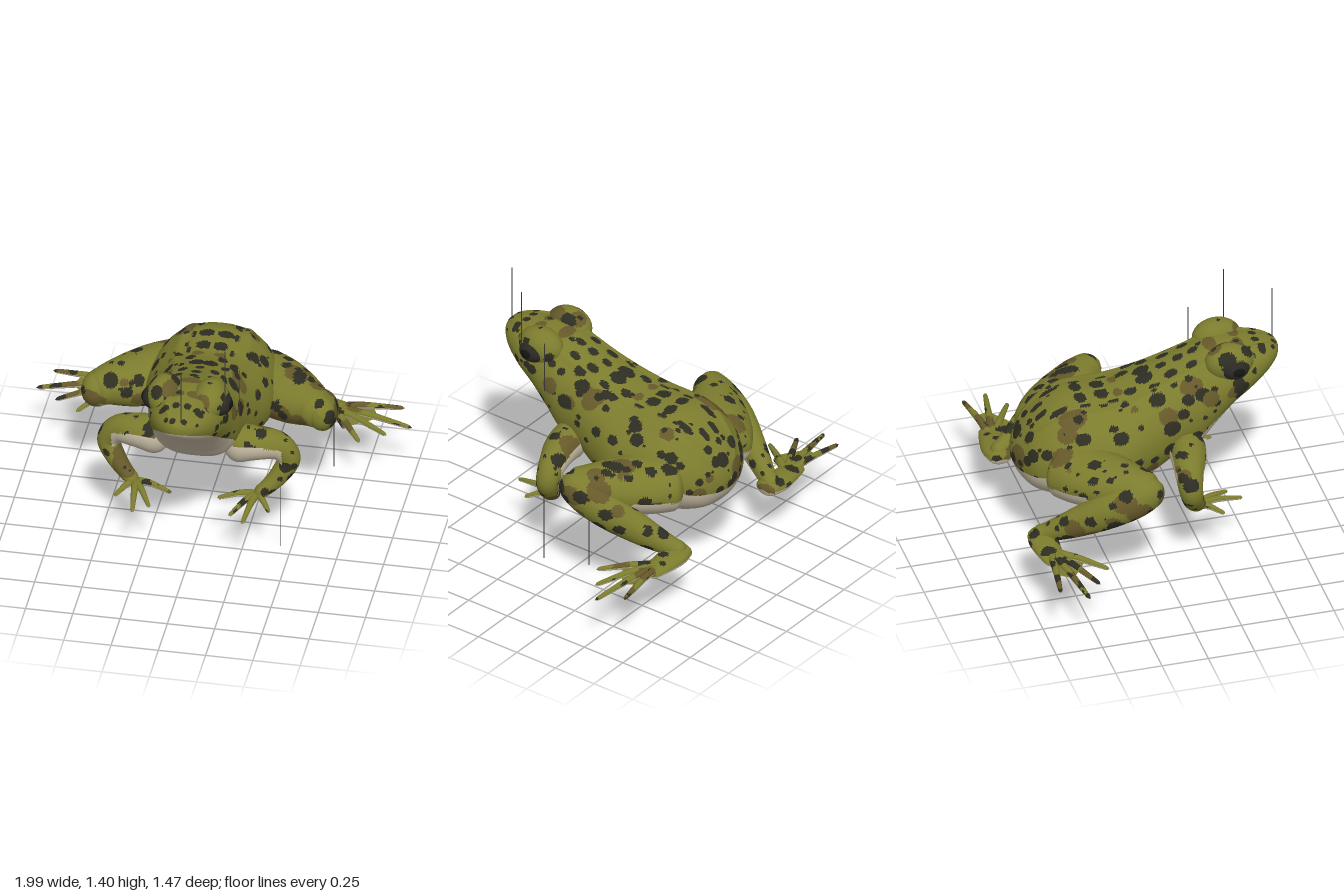
import * as THREE from 'three';

const mat = (name, color, side = THREE.FrontSide) => {
  const m = new THREE.MeshStandardMaterial({ color, side });
  m.name = name;
  return m;
};
const V = (x, y, z) => new THREE.Vector3(x, y, z);

// Seeded value in 0..1 for a grid cell
const hash = (x, y, z, k) => {
  const s = Math.sin(x * 127.1 + y * 311.7 + z * 74.7 + k * 53.3) * 43758.5453;
  return s - Math.floor(s);
};

// True inside one of the scattered blotches (one jittered blob per cell)
function blotch(p, size, rMin, rMax, chance, seed) {
  const c = [p.x, p.y, p.z].map(v => Math.floor(v / size));
  for (let i = -1; i <= 1; i++) for (let j = -1; j <= 1; j++) for (let k = -1; k <= 1; k++) {
    const [x, y, z] = [c[0] + i, c[1] + j, c[2] + k];
    if (hash(x, y, z, seed) > chance) continue;
    const dx = p.x - (x + hash(x, y, z, seed + 1)) * size;
    const dy = p.y - (y + hash(x, y, z, seed + 2)) * size;
    const dz = p.z - (z + hash(x, y, z, seed + 3)) * size;
    const r = rMin + (rMax - rMin) * hash(x, y, z, seed + 4);
    if (dx * dx + dy * dy + dz * dz * 0.7 < r * r) return true;
  }
  return false;
}

// Material slots: 0 olive, 1 cream, 2 dark, 3 brown
const speckled = p => blotch(p, 0.075, 0.008, 0.017, 0.6, 21);
const mottled = p => blotch(p, 0.095, 0.022, 0.042, 0.9, 1) || speckled(p) ? 2
  : blotch(p, 0.15, 0.035, 0.075, 0.68, 9) ? 3 : 0;
// Limbs are cream where they face the given inner, lower direction
const limbPaint = (s, [x, y, z], limit) => (p, n) => n.x * x * s + n.y * y + n.z * z > limit ? 1 : mottled(p);

// Height of the edge between belly and back, along z
const bellyEdge = [[-0.71, 0.55], [-0.55, 0.6], [-0.45, 0.61], [-0.3, 0.5], [0, 0.53], [0.2, 0.62],
  [0.3, 0.72], [0.45, 0.825], [0.6, 0.935], [0.74, 1.01]];
function edgeAt(z) {
  for (let i = 1; i < bellyEdge.length; i++) {
    const [z0, y0] = bellyEdge[i - 1], [z1, y1] = bellyEdge[i];
    if (z <= z1) return y0 + (y1 - y0) * (z - z0) / (z1 - z0);
  }
  return 1.01;
}

// Paired back and head spots: |x|, z, radius x, radius z
const backSpots = [[0.05, -0.35, 0.04, 0.032], [0.045, -0.235, 0.04, 0.038], [0.035, 0.0, 0.04, 0.045],
  [0, 0.1, 0.024, 0.028], [0, 0.19, 0.027, 0.028], [0, 0.27, 0.024, 0.028], [0.1, -0.48, 0.022, 0.048],
  [0.085, -0.09, 0.024, 0.035], [0.085, 0.13, 0.024, 0.035], [0.03, 0.6, 0.02, 0.022], [0.09, 0.62, 0.028, 0.022],
  [0.03, 0.7, 0.016, 0.014], [0.04, -0.56, 0.022, 0.032], [0.115, -0.19, 0.014, 0.03], [0.115, 0.03, 0.014, 0.03],
  [0.09, 0.24, 0.022, 0.03], [0.13, 0.55, 0.02, 0.025], [0.115, -0.34, 0.014, 0.03]];
const inSpot = (list, x, z) => list.some(([sx, sz, rx, rz]) => Math.hypot((x - sx) / rx, (z - sz) / rz) < 1);
const crownPatches = [[0, 0.36, 0.06, 0.035], [0.05, 0.5, 0.045, 0.03], [0.06, -0.15, 0.03, 0.025]];
function bodyPaint(p) {
  if (p.y < edgeAt(p.z)) return 1;
  const x = Math.abs(p.x);
  if (Math.hypot(p.y - 0.9, p.z - 0.31) < 0.045) return 3;
  const onTop = p.y > 0.6 && p.z > -0.6 && (x < 0.125 || p.z > 0.57);
  if (!onTop) return mottled(p);
  return inSpot(backSpots, x, p.z) || speckled(p) ? 2 : inSpot(crownPatches, x, p.z) ? 3 : 0;
}

// Closed loft of point(u, angle); each face gets its material slot from paint
function loft(name, point, nu, nv, paint, mats) {
  const pts = [], pos = [], slots = [[], [], [], []];
  for (let i = 0; i <= nu; i++) for (let j = 0; j < nv; j++) {
    const p = point(i / nu, j / nv * Math.PI * 2);
    pts.push(p);
    pos.push(p.x, p.y, p.z);
  }
  const tri = (a, b, c) => {
    const n = pts[b].clone().sub(pts[a]).cross(pts[c].clone().sub(pts[a])).normalize();
    const mid = pts[a].clone().add(pts[b]).add(pts[c]).divideScalar(3);
    slots[paint(mid, n)].push(a, b, c);
  };
  for (let i = 0; i < nu; i++) for (let j = 0; j < nv; j++) {
    const a = i * nv + j, b = i * nv + (j + 1) % nv;
    tri(a, b, a + nv);
    tri(b, b + nv, a + nv);
  }
  const g = new THREE.BufferGeometry();
  g.setAttribute('position', new THREE.Float32BufferAttribute(pos, 3));
  g.setIndex(slots.flat());
  let start = 0;
  slots.forEach((s, k) => { if (s.length) g.addGroup(start, s.length, k); start += s.length; });
  g.computeVertexNormals();
  const m = new THREE.Mesh(g, mats);
  m.name = name;
  return m;
}

// Tapered limb through rows of [x, y, z, radius across, radius up], rounded at both ends
function limb(name, rows, s, ref, nu, nv, paint, mats) {
  const path = new THREE.CatmullRomCurve3(rows.map(r => V(r[0] * s, r[1], r[2])), false, 'catmullrom');
  const size = new THREE.CatmullRomCurve3(rows.map(r => V(r[3], r[4] ?? r[3], 0)), false, 'catmullrom');
  return loft(name, (u, a) => {
    const t = path.getTangent(u), c = path.getPoint(u), r = size.getPoint(u);
    const side = ref.clone().cross(t).normalize(), nor = t.clone().cross(side);
    const e = Math.max(0, 1 - Math.min(u, 1 - u) / 0.1), k = Math.sqrt(Math.max(1e-6, 1 - e * e));
    return c.addScaledVector(side, Math.cos(a) * r.x * k).addScaledVector(nor, Math.sin(a) * r.y * k);
  }, nu, nv, paint, mats);
}

export function createModel() {
  const olive = mat('olive skin', 0x7c7c2e), cream = mat('cream belly', 0xc2b7a0);
  const dark = mat('dark spots', 0x2d2d22), brown = mat('brown patches', 0x66592a);
  const eyeMat = mat('eye', 0x2a2822), pupilMat = mat('pupil', 0x141411);
  const webMat = mat('web skin', 0x7c7c2e, THREE.DoubleSide), pinMat = mat('pointer grey', 0x3a3a3a);
  const skin = [olive, cream, dark, brown];
  const frog = new THREE.Group();
  frog.name = 'frog';
  const UP = V(0, 1, 0), FWD = V(0, 0, 1);

  // Head and trunk, rear to snout: z, top, bottom, half width
  const stations = [[-0.708, 0.62, 0.6, 0.004], [-0.70, 0.66, 0.56, 0.06], [-0.675, 0.715, 0.50, 0.13],
    [-0.62, 0.79, 0.44, 0.22], [-0.53, 0.87, 0.40, 0.285], [-0.42, 0.92, 0.38, 0.325], [-0.3, 0.925, 0.385, 0.34],
    [-0.15, 0.93, 0.405, 0.335], [0, 0.975, 0.43, 0.29], [0.14, 1.025, 0.51, 0.252], [0.26, 1.07, 0.565, 0.237],
    [0.34, 1.10, 0.655, 0.222], [0.45, 1.115, 0.775, 0.205], [0.55, 1.11, 0.85, 0.18], [0.64, 1.095, 0.915, 0.135],
    [0.70, 1.073, 0.965, 0.08], [0.724, 1.05, 0.995, 0.035], [0.73, 1.025, 1.02, 0.003]];
  const spine = new THREE.CatmullRomCurve3(stations.map(s => V(s[0], s[1], s[2])), false, 'catmullrom');
  const width = new THREE.CatmullRomCurve3(stations.map(s => V(s[3], 0, 0)), false, 'catmullrom');
  frog.add(loft('body', (u, a) => {
    const s = spine.getPoint(u), w = Math.max(0.001, width.getPoint(u).x);
    const c = Math.cos(a), n = Math.sin(a), mid = s.z + (s.y - s.z) * 0.46;
    const ridge = n > 0 ? 0.012 * Math.exp(-(((Math.abs(c) - 0.5) / 0.09) ** 2)) * Math.min(1, w * 5) : 0;
    // The throat is broad and flat underneath
    const power = n > 0 ? 0.9 : 0.9 - 0.28 * THREE.MathUtils.smoothstep(s.x, 0, 0.35);
    return V(Math.sign(c) * Math.abs(c) ** power * w, mid + n * (n > 0 ? s.y - mid : mid - s.z) + ridge, s.x);
  }, 250, 150, bodyPaint, skin));

  const ball = (name, c, r, material) => {
    const m = new THREE.Mesh(new THREE.SphereGeometry(1, 32, 20), material);
    m.name = name;
    m.position.set(...c);
    m.scale.set(...r);
    frog.add(m);
  };

  // Foot: tapered toes from a base, with webs between neighbours
  const foot = (name, base, tips, r, reach, s) => {
    const g = new THREE.Group(), web = [];
    g.name = name;
    tips.forEach((t, i) => {
      const at = (k, lift = 0) => [0, 1, 2].map(d => base[d] + (t[d] - base[d]) * k + (d === 1 ? lift : 0));
      g.add(limb('toe', [[...at(0), r * 1.3], [...at(0.4, 0.015), r], [...at(0.75, 0.008), r * 0.75], [...t, r * 0.55]],
        s, UP, 18, 12, (p, n) => n.y < 0.1 ? 1 : mottled(p), skin));
      if (i) {
        const q = [0, 1, 2].map(d => base[d] + (tips[i - 1][d] - base[d]) * reach + (d === 1 ? 0.008 : 0));
        const e = at(reach, 0.008);
        [base, q, e].forEach(v => web.push(v[0] * s, v[1], v[2]));
      }
    });
    const geo = new THREE.BufferGeometry();
    geo.setAttribute('position', new THREE.Float32BufferAttribute(web, 3));
    geo.computeVertexNormals();
    const m = new THREE.Mesh(geo, webMat);
    m.name = 'web';
    g.add(m);
    frog.add(g);
  };

  for (const s of [1, -1]) {
    const side = s > 0 ? 'left' : 'right';
    // Eyes under raised lids
    frog.add(loft(side + 'EyeLid', (u, a) => {
      const k = Math.sin(u * Math.PI);
      return V(s * 0.122 + 0.092 * k * Math.cos(a), 1.053 + 0.102 * k * Math.sin(a), 0.435 - 0.13 * Math.cos(u * Math.PI));
    }, 36, 36, mottled, skin));
    ball(side + 'Eye', [s * 0.165, 1.04, 0.45], [0.074, 0.062, 0.08], eyeMat);
    ball(side + 'Pupil', [s * 0.19, 1.042, 0.453], [0.052, 0.042, 0.056], pupilMat);

    // Hind leg: thigh, shin, ankle and foot
    const thighPaint = limbPaint(s, [-0.5, -0.8, -0.3], 0.68);
    frog.add(limb(side + 'Thigh', [[0.16, 0.6, -0.5, 0.17, 0.15], [0.3, 0.61, -0.39, 0.185, 0.15],
      [0.43, 0.625, -0.28, 0.16, 0.135], [0.54, 0.645, -0.18, 0.115, 0.105], [0.605, 0.655, -0.085, 0.07, 0.075]],
      s, UP, 70, 52, (p, n) => p.z < -0.34 && p.y < edgeAt(p.z) - 0.01 ? 1 : thighPaint(p, n), skin));
    frog.add(limb(side + 'Shin', [[0.6, 0.68, -0.06, 0.06, 0.07], [0.595, 0.62, -0.18, 0.08, 0.1],
      [0.56, 0.55, -0.32, 0.088, 0.1], [0.49, 0.455, -0.48, 0.07, 0.082], [0.42, 0.375, -0.62, 0.05, 0.055],
      [0.385, 0.345, -0.7, 0.045, 0.045]], s, UP, 70, 44, limbPaint(s, [-0.7, -0.65, -0.3], 0.6), skin));
    frog.add(limb(side + 'Ankle', [[0.34, 0.34, -0.655, 0.06, 0.042], [0.44, 0.335, -0.66, 0.078, 0.042],
      [0.55, 0.33, -0.655, 0.068, 0.034], [0.66, 0.325, -0.64, 0.055, 0.02]], s, UP, 36, 28,
      limbPaint(s, [0, -1, 0], 0.1), skin));
    foot(side + 'HindFoot', [0.55, 0.328, -0.65], [[0.93, 0.335, -0.705], [0.995, 0.312, -0.565], [0.877, 0.31, -0.476],
      [0.75, 0.308, -0.39], [0.65, 0.308, -0.5]], 0.02, 0.58, s);

    // Front leg, cream from the chest out along the upper arm, and hand
    const armPaint = limbPaint(s, [-0.75, -0.6, -0.25], 0.62);
    const armpit = (p, n) => Math.abs(p.x) < 0.45 && p.y > 0.5 && n.y < 0.3 && p.y < 0.69 - (Math.abs(p.x) - 0.2) * 0.33;
    frog.add(limb(side + 'Arm', [[0.14, 0.61, 0.19, 0.12, 0.1], [0.3, 0.62, 0.165, 0.092, 0.095],
      [0.42, 0.595, 0.135, 0.075, 0.075], [0.475, 0.52, 0.13, 0.062, 0.062], [0.435, 0.435, 0.155, 0.052, 0.055],
      [0.37, 0.365, 0.19, 0.04, 0.045], [0.31, 0.325, 0.215, 0.03, 0.045]], s, FWD, 70, 40,
      (p, n) => armpit(p, n) ? 1 : armPaint(p, n), skin));
    foot(side + 'Hand', [0.32, 0.325, 0.2], [[0.12, 0.305, 0.25], [0.21, 0.303, 0.4], [0.29, 0.303, 0.46],
      [0.41, 0.303, 0.33]], 0.018, 0.25, s);
  }

  // Thin upright pointers at nostril, eye, eardrum, front leg and hind leg
  [[0.015, 0.705, 1.06, 1.37], [0.21, 0.5, 1.05, 1.4], [0.25, 0.32, 0.88, 1.17], [0.44, 0.18, 0, 0.4],
    [0.64, -0.26, 0.23, 0.52]].forEach(([x, z, y0, y1]) => {
    const m = new THREE.Mesh(new THREE.BoxGeometry(0.004, y1 - y0, 0.004), pinMat);
    m.name = 'pointer';
    m.position.set(x, (y0 + y1) / 2, z);
    frog.add(m);
  });
  return frog;
}
